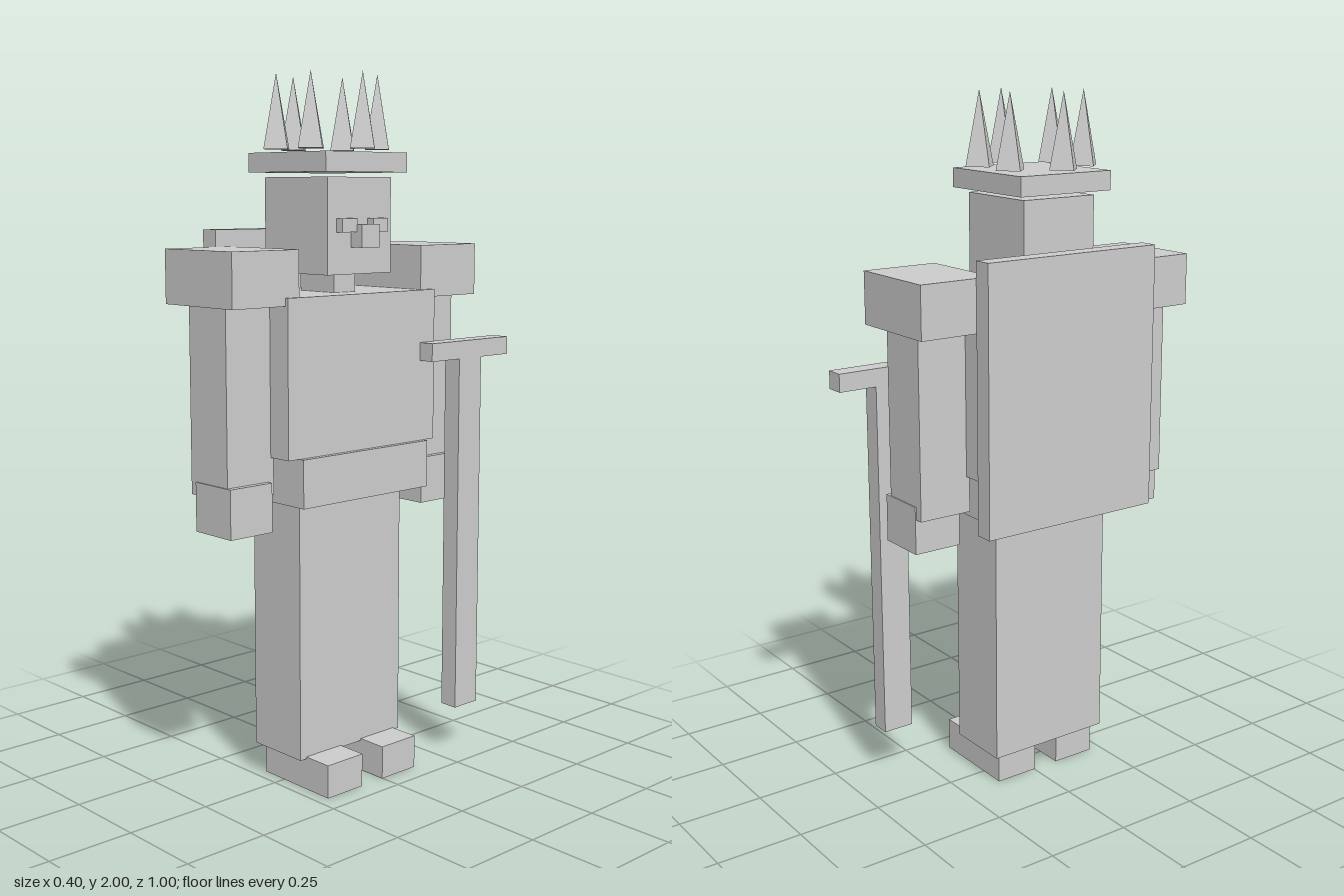
import * as THREE from 'three';

const MID_Z = 0.042; // plane of symmetry of the figure, which looks towards +x

export function createModel() {
  const model = new THREE.Group();
  model.name = 'crownedFigure';
  const stone = new THREE.MeshStandardMaterial({ color: 0xcccccc });
  stone.name = 'paleGrey';

  // Box given by its limits on each axis
  const box = (name, [x0, x1], [y0, y1], [z0, z1], parent = model) => {
    const mesh = new THREE.Mesh(new THREE.BoxGeometry(x1 - x0, y1 - y0, z1 - z0), stone);
    mesh.position.set((x0 + x1) / 2, (y0 + y1) / 2, (z0 + z1) / 2);
    mesh.name = name;
    parent.add(mesh);
    return mesh;
  };
  // Box centred on the plane of symmetry
  const centred = (name, x, y, depth) =>
    box(name, x, y, [MID_Z - depth / 2, MID_Z + depth / 2]);
  // Mirrored pair of boxes, from near to far of the plane of symmetry
  const pair = (name, x, y, near, far) => {
    box('right' + name, x, y, [MID_Z + near, MID_Z + far]);
    box('left' + name, x, y, [MID_Z - far, MID_Z - near]);
  };

  // Body
  centred('legs', [-0.1, 0.097], [0.09, 0.835], 0.388);
  centred('belt', [-0.145, 0.165], [0.833, 0.968], 0.476);
  centred('torso', [-0.145, 0.15], [0.968, 1.402], 0.556);
  centred('cape', [-0.2, -0.145], [0.815, 1.575], 0.57);
  centred('neck', [-0.07, 0.07], [1.402, 1.455], 0.08);
  pair('Foot', [-0.08, 0.188], [0, 0.096], 0.04, 0.172);

  // Arms
  pair('Shoulder', [-0.144, 0.141], [1.38, 1.528], 0.23, 0.457);
  pair('Arm', [-0.08, 0.076], [0.865, 1.38], 0.268, 0.428);
  pair('Hand', [-0.057, 0.093], [0.765, 0.902], 0.288, 0.432);

  // Head and face
  centred('head', [-0.13, 0.13], [1.455, 1.718], 0.238);
  centred('nose', [0.13, 0.175], [1.528, 1.591], 0.066);
  pair('Eye', [0.13, 0.154], [1.57, 1.607], 0.029, 0.086);

  // Crown: plate with a ring of six spikes
  centred('crownPlate', [-0.161, 0.16], [1.731, 1.785], 0.304);
  const spikes = new THREE.Group();
  spikes.name = 'crownSpikes';
  spikes.position.set(-0.002, 1.897, MID_Z);
  const spikeShape = new THREE.ConeGeometry(0.047, 0.206, 4).toNonIndexed();
  spikeShape.computeVertexNormals();
  for (let i = 0; i < 6; i++) {
    const angle = (i * Math.PI) / 3;
    const spike = new THREE.Mesh(spikeShape, stone);
    spike.name = 'spike' + (i + 1);
    spike.position.set(0.143 * Math.cos(angle), 0, 0.143 * Math.sin(angle));
    spikes.add(spike);
  }
  model.add(spikes);

  // Staff
  const staff = new THREE.Group();
  staff.name = 'staff';
  box('staffPole', [0.143, 0.199], [0.146, 1.2], [-0.385, -0.292], staff);
  box('staffGrip', [0.143, 0.199], [1.2, 1.252], [-0.5, -0.178], staff);
  model.add(staff);

  return model;
}
